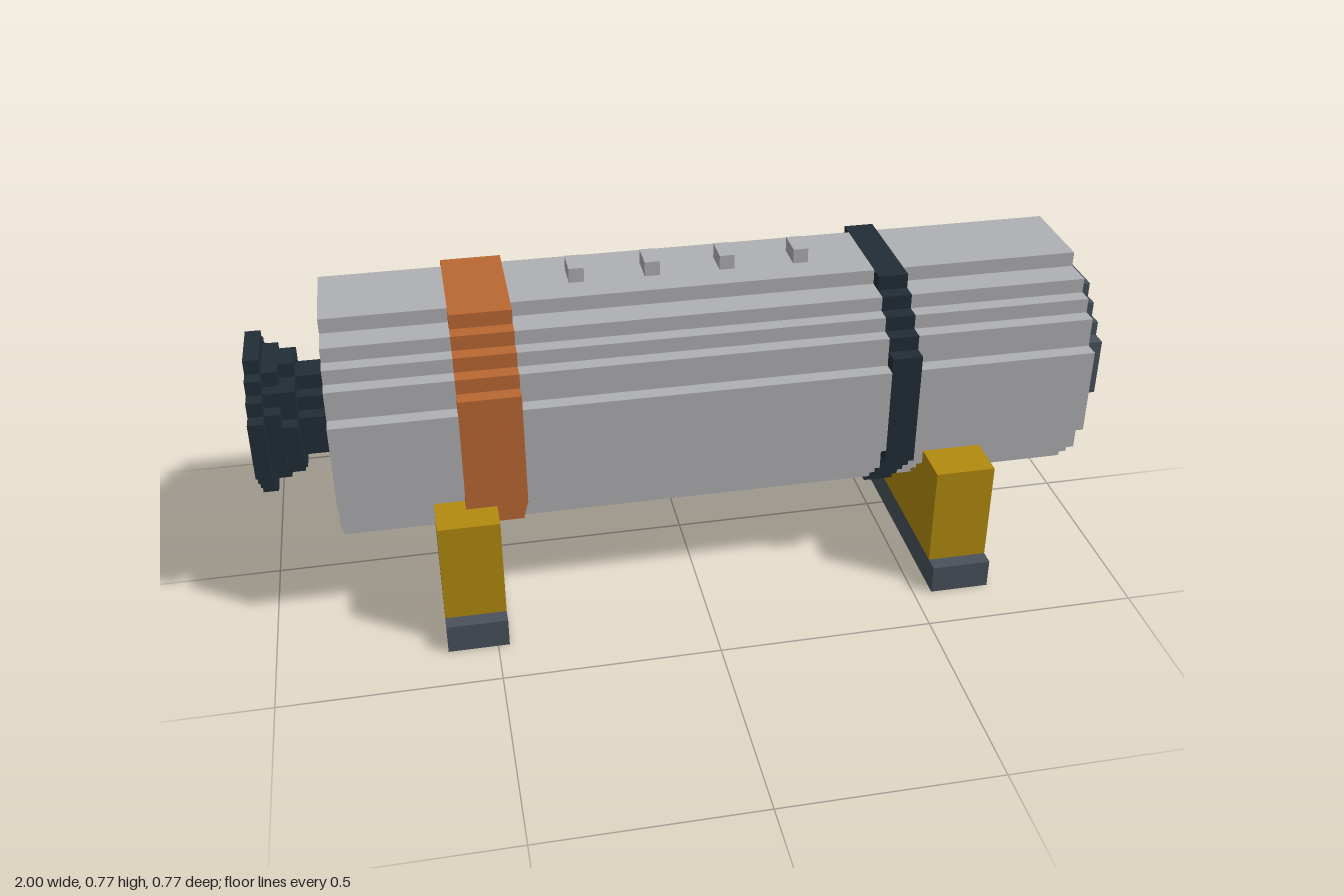
import * as THREE from 'three';

// One block unit; the model is 57 units long
const U = 2 / 57;
const AXIS = 13; // height of the cylinder axis in units

const mat = (name, color) => {
  const m = new THREE.MeshStandardMaterial({ color });
  m.name = name;
  return m;
};

// Stepped quarter outlines, [z, y] from the top to the side
const BODY = [[3, 8], [3, 7], [5, 7], [5, 6], [6, 6], [6, 5], [7, 5], [7, 3], [8, 3]];
const BAND = [[4, 8], [4, 7], [5, 7], [5, 6], [6, 6], [6, 5], [7, 5], [7, 4], [8, 4]];
const R5 = [[2, 5], [2, 4], [3, 4], [3, 3], [4, 3], [4, 2], [5, 2]];
const R4 = [[2, 4], [2, 3], [3, 3], [3, 2], [4, 2]];
const R4_NARROW = [[1, 4], [1, 3], [3, 3], [3, 1], [4, 1]];
const R3 = [[1, 3], [1, 2], [2, 2], [2, 1], [3, 1]];

// Mirror a quarter outline into a full closed ring
function ring(quarter) {
  const back = [...quarter].reverse();
  return [
    ...quarter,
    ...back.map(([z, y]) => [z, -y]),
    ...quarter.map(([z, y]) => [-z, -y]),
    ...back.map(([z, y]) => [-z, y]),
  ].map(([z, y]) => new THREE.Vector2(z * U, y * U));
}

export function createModel() {
  const model = new THREE.Group();
  model.name = 'cylinderOnStands';

  const shell = mat('light grey', 0xafb0b3);
  const slate = mat('slate', 0x4a525c);
  const dark = mat('dark navy', 0x222d36);
  const orange = mat('orange', 0xba6832);
  const gold = mat('gold', 0xb38b0e);

  // Stepped section extruded along x from x0 to x1
  function section(name, quarter, x0, x1, material, hole) {
    const shape = new THREE.Shape(ring(quarter));
    if (hole) shape.holes.push(new THREE.Path(ring(hole)));
    const geo = new THREE.ExtrudeGeometry(shape, { depth: (x1 - x0) * U, bevelEnabled: false });
    geo.rotateY(Math.PI / 2);
    const mesh = new THREE.Mesh(geo, material);
    mesh.name = name;
    mesh.position.set(x0 * U, AXIS * U, 0);
    model.add(mesh);
  }

  // Box given by its limits in units
  function box(name, [x0, x1], [y0, y1], [z0, z1], material, parent = model) {
    const mesh = new THREE.Mesh(
      new THREE.BoxGeometry((x1 - x0) * U, (y1 - y0) * U, (z1 - z0) * U), material);
    mesh.name = name;
    mesh.position.set((x0 + x1) / 2 * U, (y0 + y1) / 2 * U, (z0 + z1) / 2 * U);
    parent.add(mesh);
  }

  // Main cylinder with its two bands
  section('bodyRear', BODY, -23.5, -15.5, shell);
  section('orangeBand', BAND, -15.5, -11.5, orange);
  section('bodyMiddle', BODY, -11.5, 12.5, shell);
  section('darkBand', BAND, 12.5, 14.5, dark);
  section('bodyFront', BODY, 14.5, 26.5, shell);

  // End cap
  section('endCap', R5, 26.5, 28.5, slate);

  // Flared hollow nozzle
  section('nozzleNeck', R3, -25.5, -23.5, dark);
  section('nozzleFloor', R4_NARROW, -26.5, -25.5, dark);
  section('nozzleFlare', R4, -27.5, -26.5, dark, R3);
  section('nozzleRim', R5, -28.5, -27.5, dark, R4);

  // Studs along the top
  for (let i = 0; i < 4; i++) {
    const x = -7.5 + i * 5;
    box('topStud', [x, x + 1], [21, 22], [-1, 1], shell);
  }

  // Saddle stands on open-bottomed base frames
  for (const x of [-17.5, 15.5]) {
    const stand = new THREE.Group();
    stand.name = 'stand';
    model.add(stand);
    box('saddle', [x, x + 4], [2, 9], [-10, 10], gold, stand);
    for (const dx of [0, 3]) box('baseRail', [x + dx, x + dx + 1], [0, 2], [-11, 11], slate, stand);
    for (const z of [-11, 10]) box('baseEnd', [x + 1, x + 3], [0, 2], [z, z + 1], slate, stand);
  }

  return model;
}
